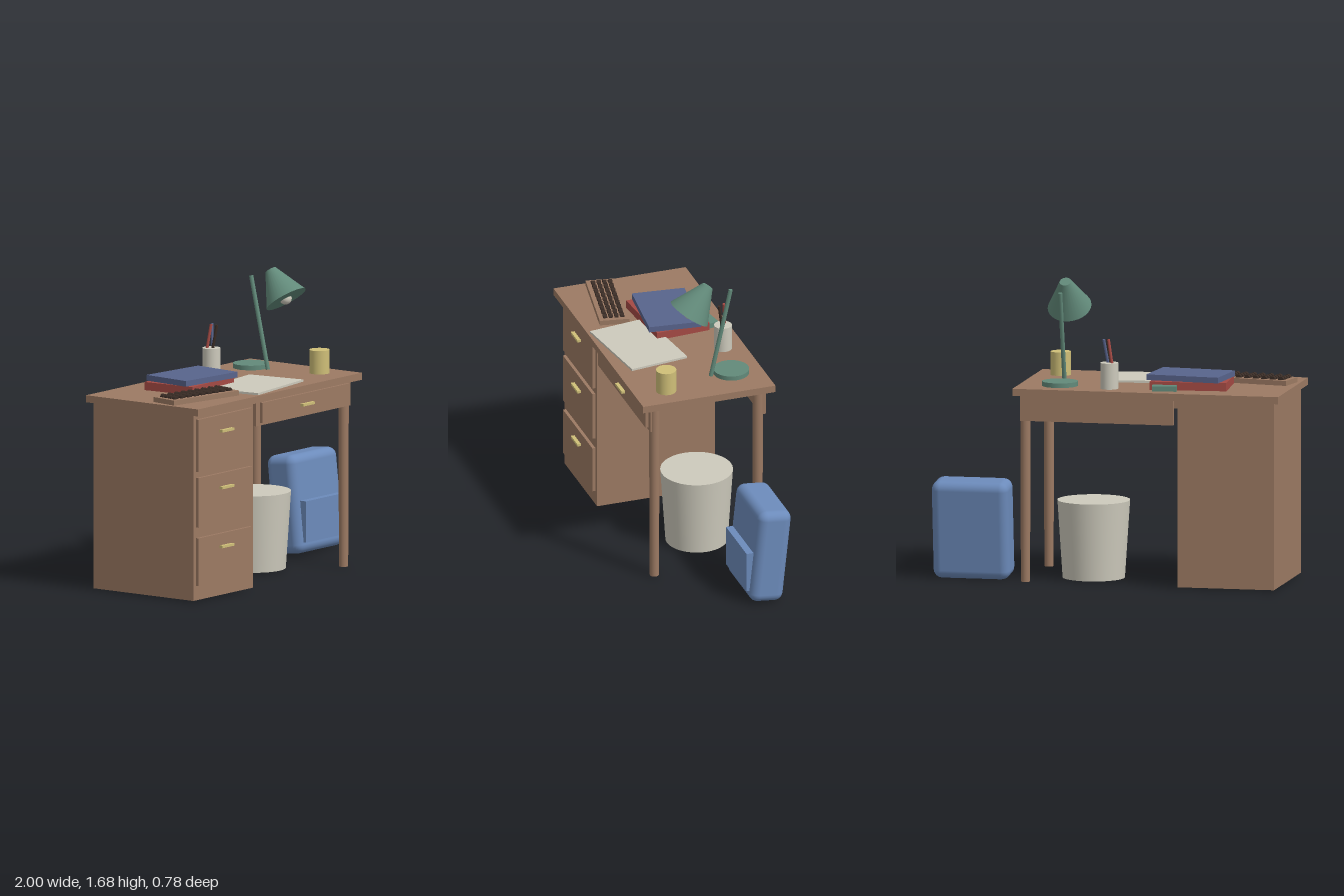
import * as THREE from 'three';
import { RoundedBoxGeometry } from 'three/addons/geometries/RoundedBoxGeometry.js';

const mat = (name, color) => {
  const m = new THREE.MeshStandardMaterial({ color });
  m.name = name;
  return m;
};

export function createModel() {
  const wood = mat('wood', 0x9c7a63);
  const cream = mat('cream', 0xcdcabc);
  const blue = mat('canvas blue', 0x6c8bbb);
  const green = mat('lamp green', 0x628a7a);
  const red = mat('book red', 0xa54a44);
  const navy = mat('book navy', 0x58648c);
  const yellow = mat('brass yellow', 0xcfbf78);
  const dark = mat('bead brown', 0x3c2e27);

  const model = new THREE.Group();
  model.name = 'deskScene';

  const add = (name, geometry, material, x, y, z, parent = model) => {
    const m = new THREE.Mesh(geometry, material);
    m.name = name;
    m.position.set(x, y, z);
    parent.add(m);
    return m;
  };
  // Box given by its lower and upper limits
  const span = (name, material, x0, x1, y0, y1, z0, z1) =>
    add(name, new THREE.BoxGeometry(x1 - x0, y1 - y0, z1 - z0), material,
      (x0 + x1) / 2, (y0 + y1) / 2, (z0 + z1) / 2);
  // Upright round part standing at height y0
  const round = (name, material, rTop, rBottom, y0, y1, x, z, sides = 32) =>
    add(name, new THREE.CylinderGeometry(rTop, rBottom, y1 - y0, sides), material, x, (y0 + y1) / 2, z);
  // Thin round bar between two points
  const bar = (name, material, r, a, b, sides = 10) => {
    const from = new THREE.Vector3(...a), to = new THREE.Vector3(...b);
    const dir = to.clone().sub(from);
    const mid = from.clone().add(to).multiplyScalar(0.5);
    const m = add(name, new THREE.CylinderGeometry(r, r, dir.length(), sides), material, mid.x, mid.y, mid.z);
    m.quaternion.setFromUnitVectors(new THREE.Vector3(0, 1, 0), dir.normalize());
    return m;
  };
  // Flat object lying on the desk, turned by an angle
  const lying = (name, material, w, d, y0, y1, x, z, turn) => {
    const m = add(name, new THREE.BoxGeometry(w, y1 - y0, d), material, x, (y0 + y1) / 2, z);
    m.rotation.y = turn;
    return m;
  };

  // Desk body
  const top = 1.1;
  span('deskTop', wood, -1, 0.515, 1.06, top, -0.39, 0.39);
  span('pedestal', wood, -0.97, -0.42, 0.008, 1.06, -0.36, 0.335);
  span('frontApron', wood, -0.39, 0.48, 0.915, 1.06, 0.305, 0.336);
  span('backApron', wood, -0.39, 0.48, 0.915, 1.06, -0.347, -0.317);
  for (const z of [0.305, -0.305]) round('leg', wood, 0.03, 0.026, 0.006, 1.06, 0.459, z, 16);

  // Drawer fronts with pulls
  const drawer = (x0, x1, y0, y1, hx, hy) => {
    span('drawerFront', wood, x0, x1, y0, y1, 0.33, 0.353);
    span('drawerPull', yellow, hx - 0.055, hx + 0.055, hy - 0.007, hy + 0.007, 0.353, 0.374);
  };
  drawer(-0.945, -0.45, 0.735, 1.03, -0.697, 0.94);
  drawer(-0.945, -0.45, 0.42, 0.7, -0.697, 0.62);
  drawer(-0.945, -0.45, 0.09, 0.36, -0.697, 0.287);
  drawer(-0.355, 0.45, 0.93, 1.045, 0.05, 0.985);

  // Waste bin
  round('wasteBin', cream, 0.203, 0.174, 0.006, 0.443, 0.123, -0.062, 40);

  // Leaning backpack with front pocket
  const pack = add('backpack', new RoundedBoxGeometry(0.437, 0.555, 0.197, 3, 0.05), blue, 0.78, 0.283, -0.203);
  pack.rotation.x = -0.105;
  span('backpackPocket', blue, 0.605, 0.953, 0.08, 0.313, -0.15, -0.067);

  // Desk lamp
  round('lampBase', green, 0.1, 0.1, top, 1.126, 0.283, -0.21);
  bar('lampArm', green, 0.012, [0.283, top, -0.09], [0.283, 1.62, -0.207]);
  const shade = add('lampShade', new THREE.CylinderGeometry(0.032, 0.123, 0.189, 32), green, 0.283, 1.588, -0.017);
  shade.rotation.x = -0.616;
  add('lampBulb', new THREE.SphereGeometry(0.035, 20, 14), cream, 0.283, 1.515, 0.033);

  // Mug
  round('mug', yellow, 0.057, 0.057, top, 1.232, 0.37, 0.204);

  // Pencil cup
  round('pencilCup', cream, 0.05, 0.05, top, 1.246, -0.01, -0.264);
  bar('pencil', red, 0.008, [-0.036, 1.2, -0.283], [-0.006, 1.378, -0.268]);
  bar('pencil', navy, 0.008, [-0.008, 1.2, -0.253], [0.018, 1.378, -0.281]);
  bar('pencil', dark, 0.008, [-0.012, 1.2, -0.262], [0.005, 1.375, -0.236]);

  // Stacked books, eraser and paper pad
  lying('lowerBook', red, 0.43, 0.317, top, 1.146, -0.443, -0.09, 0.075);
  lying('upperBook', navy, 0.42, 0.3, 1.146, 1.178, -0.433, -0.08, -0.105);
  lying('eraser', green, 0.137, 0.07, top, 1.13, -0.328, -0.283, 0.17);
  lying('paperPad', cream, 0.515, 0.345, top, 1.112, -0.193, 0.17, 0.135);

  // Counting frame with rows of beads
  const frame = new THREE.Group();
  frame.name = 'countingFrame';
  frame.position.set(-0.722, top, 0.168);
  frame.rotation.y = -0.175;
  model.add(frame);
  add('frameBoard', new THREE.BoxGeometry(0.494, 0.028, 0.168), wood, 0, 0.014, 0, frame);
  const beadGeometry = new THREE.CylinderGeometry(0.016, 0.016, 0.022, 12).rotateX(Math.PI / 2);
  for (let col = 0; col < 9; col++)
    for (let row = 0; row < 4; row++)
      add('bead', beadGeometry, dark, (col - 4) * 0.051, 0.03, (row - 1.5) * 0.032, frame);

  return model;
}
